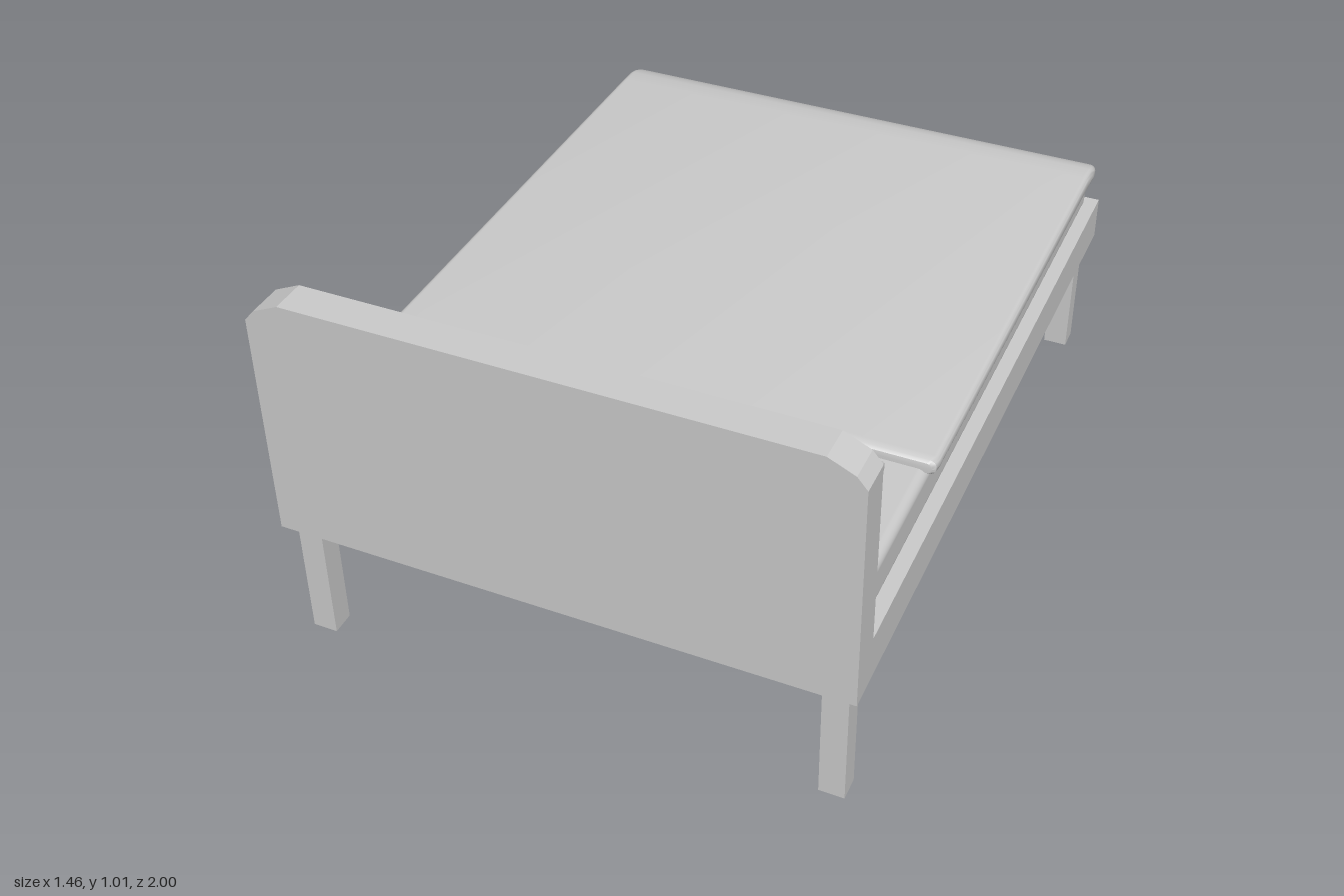
import * as THREE from 'three';
import { toCreasedNormals } from 'three/addons/utils/BufferGeometryUtils.js';
import { RoundedBoxGeometry } from 'three/addons/geometries/RoundedBoxGeometry.js';

const material = new THREE.MeshStandardMaterial({ color: 0xcccccc });

function add(parent, name, geometry, x = 0, y = 0, z = 0) {
  const mesh = new THREE.Mesh(geometry, material);
  mesh.name = name;
  mesh.position.set(x, y, z);
  parent.add(mesh);
  return mesh;
}

const shapeOf = (points) => new THREE.Shape(points.map(([x, y]) => new THREE.Vector2(x, y)));

// Rounded rectangle, counter-clockwise seen from +z
function ring(halfWidth, bottom, top, z) {
  const r = Math.min(0.016, (top - bottom) * 0.48, halfWidth);
  const points = [];
  for (let corner = 0; corner < 4; corner++) {
    const cx = (corner === 0 || corner === 3 ? 1 : -1) * (halfWidth - r);
    const cy = corner < 2 ? top - r : bottom + r;
    for (let k = 0; k <= 4; k++) {
      const a = (corner + k / 4) * Math.PI / 2;
      points.push([cx + r * Math.cos(a), cy + r * Math.sin(a), z]);
    }
  }
  return points;
}

// Skin over rings running from +z to -z, closed at both ends
function loft(rings) {
  const n = rings[0].length, index = [];
  for (let i = 0; i < rings.length - 1; i++) {
    for (let j = 0; j < n; j++) {
      const a = i * n + j, b = i * n + (j + 1) % n;
      index.push(a, a + n, b, b, a + n, b + n);
    }
  }
  const last = (rings.length - 1) * n;
  for (let j = 1; j < n - 1; j++) {
    index.push(0, j, j + 1, last, last + j + 1, last + j);
  }
  const geometry = new THREE.BufferGeometry();
  geometry.setAttribute('position', new THREE.Float32BufferAttribute(rings.flat(2), 3));
  geometry.setIndex(index);
  return toCreasedNormals(geometry, 0.7);
}

export function createModel() {
  const bed = new THREE.Group();
  bed.name = 'bed';

  // Platform
  add(bed, 'bedFrame', new THREE.BoxGeometry(1.46, 0.12, 1.9), 0, 0.4, -0.04);

  // Headboard with clipped upper corners
  const board = shapeOf([
    [-0.73, 0.34], [0.73, 0.34], [0.73, 0.95], [0.705, 0.98], [0.64, 1.01],
    [-0.64, 1.01], [-0.705, 0.98], [-0.73, 0.95],
  ]);
  add(bed, 'headboard', new THREE.ExtrudeGeometry(board, { depth: 0.09, bevelEnabled: false }), 0, 0, 0.91);

  // Legs
  for (const x of [-0.672, 0.672]) {
    for (const z of [-0.925, 0.942]) {
      add(bed, 'leg', new THREE.BoxGeometry(0.064, 0.34, 0.06), x, 0.17, z);
    }
  }

  // Mattress
  add(bed, 'mattress', new RoundedBoxGeometry(1.4, 0.12, 1.82, 4, 0.025), 0, 0.523, -0.04);

  // Duvet: half width, bottom, top, z; it droops over the foot end
  const stations = [
    [0.705, 0.576, 0.604, 0.477], [0.713, 0.571, 0.61, 0.47], [0.715, 0.57, 0.611, 0.45],
    [0.715, 0.561, 0.61, -0.85], [0.715, 0.56, 0.609, -0.9], [0.715, 0.556, 0.604, -0.925],
    [0.712, 0.55, 0.594, -0.95], [0.703, 0.545, 0.582, -0.97], [0.69, 0.541, 0.572, -0.985],
    [0.675, 0.541, 0.565, -0.995], [0.655, 0.546, 0.558, -1],
  ];
  add(bed, 'duvet', loft(stations.map((s) => ring(...s))), 0.005, 0, 0);

  // Wedge pillows: side profile in (z, y), extruded across the bed
  const wedge = shapeOf([
    [0.515, 0.585], [0.845, 0.585], [0.845, 0.7], [0.83, 0.702], [0.7, 0.672], [0.515, 0.61],
  ]);
  const bevel = 0.006;
  const pillow = new THREE.ExtrudeGeometry(wedge, {
    depth: 0.52 - 2 * bevel, bevelThickness: bevel, bevelSize: bevel, bevelOffset: -bevel, bevelSegments: 2,
  });
  pillow.translate(0, 0, -0.26 + bevel).rotateY(-Math.PI / 2);
  const pillowGeometry = toCreasedNormals(pillow, 0.6);
  add(bed, 'rightPillow', pillowGeometry, -0.385);
  add(bed, 'leftPillow', pillowGeometry, 0.35);

  return bed;
}
